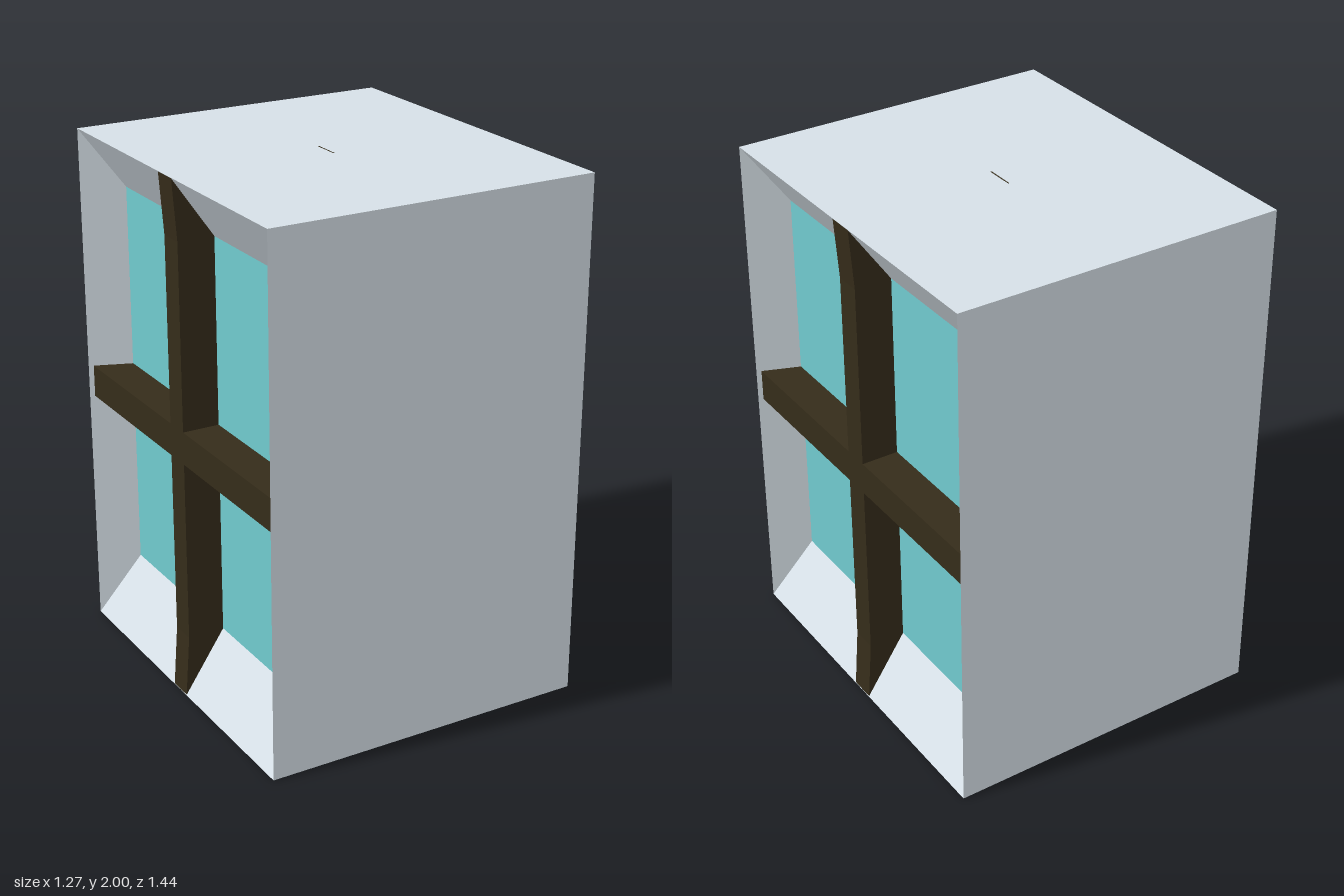
import * as THREE from 'three';

const W = 0.635, D = 0.72, H = 2;                   // outer half width, half depth, height
const PANE_X = 0.475, PANE_Z = 0.66, Y0 = 0.24, Y1 = 1.77; // recessed pane
const BAR_X = 0.617, BAR_Z = 0.05;                  // glazing bar front and half width

const mat = (color) => new THREE.MeshStandardMaterial({ color, flatShading: true });

function mesh(name, geometry, material) {
  const m = new THREE.Mesh(geometry, material);
  m.name = name;
  return m;
}

// Block with a sloping recess on each side, skinned through rectangular sections
function blockGeometry() {
  const section = (x, y0, y1, z) => [[x, y0, z], [x, y0, -z], [x, y1, -z], [x, y1, z]];
  const loops = [
    section(-PANE_X, Y0, Y1, PANE_Z),
    section(-W, 0, H, D),
    section(W, 0, H, D),
    section(PANE_X, Y0, Y1, PANE_Z),
  ];
  const pos = [];
  for (let i = 0; i < loops.length - 1; i++) {
    for (let j = 0; j < 4; j++) {
      const k = (j + 1) % 4;
      const a = loops[i][j], b = loops[i][k], c = loops[i + 1][k], d = loops[i + 1][j];
      pos.push(...a, ...b, ...c, ...a, ...c, ...d);
    }
  }
  const g = new THREE.BufferGeometry();
  g.setAttribute('position', new THREE.Float32BufferAttribute(pos, 3));
  g.computeVertexNormals();
  return g;
}

// Upright bar whose tips flare out along the sloping recess
function uprightGeometry() {
  const shape = new THREE.Shape([
    [PANE_X, Y0], [BAR_X, Y0], [BAR_X, Y1], [PANE_X, Y1],
  ].map((p) => new THREE.Vector2(...p)));
  shape.curves = [];
  shape.setFromPoints([
    [PANE_X, Y0], [W - 0.001, 0.002], [BAR_X, Y0],
    [BAR_X, Y1], [W - 0.001, H - 0.002], [PANE_X, Y1],
  ].map((p) => new THREE.Vector2(...p)));
  return new THREE.ExtrudeGeometry(shape, { depth: 2 * BAR_Z, bevelEnabled: false })
    .translate(0, 0, -BAR_Z);
}

// Cross bar, its underside dropping slightly towards the pane
function crossGeometry() {
  const g = new THREE.BoxGeometry(BAR_X - PANE_X, 0.125, 2 * 0.713)
    .translate((BAR_X + PANE_X) / 2, 1.0025, 0);
  const p = g.attributes.position;
  for (let i = 0; i < p.count; i++) {
    if (p.getX(i) < 0.5 && p.getY(i) < 1) p.setY(i, 0.93);
  }
  g.computeVertexNormals();
  return g;
}

export function createModel() {
  const model = new THREE.Group();
  model.name = 'windowBlock';
  const wall = mat(0xd6e0e7), glass = mat(0x70cace), wood = mat(0x352c1a);

  model.add(mesh('block', blockGeometry(), wall));

  // The same window on both sides
  const pane = new THREE.PlaneGeometry(2 * PANE_Z, Y1 - Y0)
    .rotateY(Math.PI / 2).translate(PANE_X, (Y0 + Y1) / 2, 0);
  const upright = uprightGeometry(), cross = crossGeometry();
  for (const [name, turn] of [['leftWindow', 0], ['rightWindow', Math.PI]]) {
    const side = new THREE.Group();
    side.name = name;
    side.rotation.y = turn;
    side.add(mesh('pane', pane, glass), mesh('uprightBar', upright, wood), mesh('crossBar', cross, wood));
    model.add(side);
  }

  // Slivers of the bars showing through the top and the bottom
  const topSeam = mesh('topSeam', new THREE.BoxGeometry(0.005, 0.004, 0.11), wood);
  topSeam.position.y = H - 0.0015;
  const bottomSeam = mesh('bottomSeam', new THREE.BoxGeometry(2 * W, 0.004, 0.004), wood);
  bottomSeam.position.y = 0.0015;
  model.add(topSeam, bottomSeam);
  return model;
}
